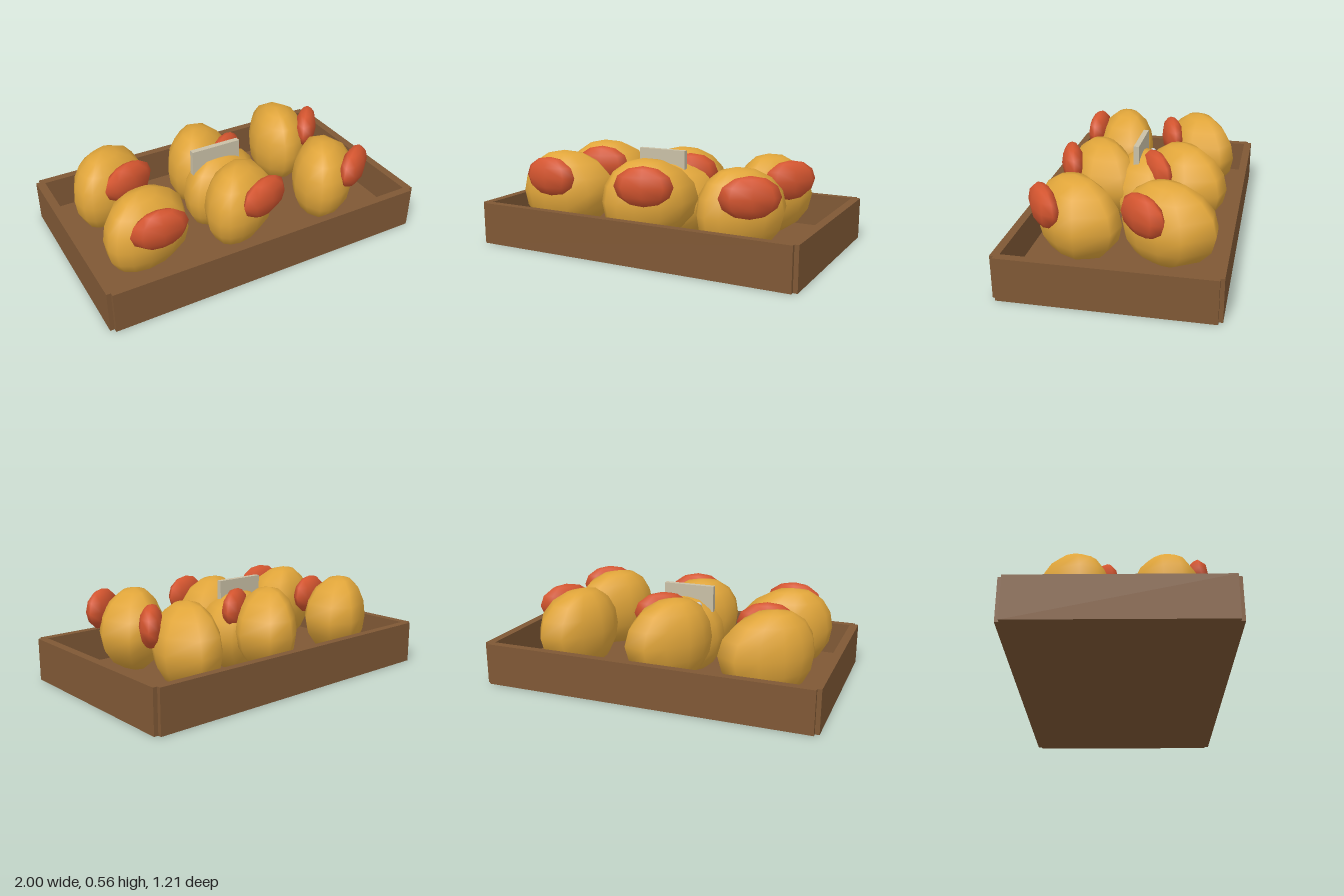
import * as THREE from 'three';

// Plan outline of one fruit (x, z): rounded at one end, angular at the other
const OUTLINE = [
  [-0.26, 0.1], [-0.25, 0], [-0.18, -0.1], [-0.08, -0.16], [0.06, -0.185], [0.19, -0.185],
  [0.28, -0.08], [0.215, 0.11], [0.1, 0.175], [-0.05, 0.205], [-0.16, 0.19], [-0.23, 0.15],
];

// Fruit body: the outline stacked in shrinking rings between two poles
function fruitGeometry(height = 0.245, rings = 8) {
  const n = OUTLINE.length, positions = [], index = [];
  for (let j = 1; j < rings; j++) {
    const a = -Math.PI / 2 + (j / rings) * Math.PI;
    const c = Math.cos(a), s = Math.sin(a);
    for (const [x, z] of OUTLINE) positions.push(x * c - 0.03 * s * s, height * s, z * c);
  }
  const bottom = positions.length / 3, top = bottom + 1;
  positions.push(-0.03, -height, 0, -0.03, height, 0);
  for (let i = 0; i < n; i++) {
    const k = (i + 1) % n, last = (rings - 2) * n;
    for (let j = 0; j < rings - 2; j++) {
      const a = j * n + i, b = j * n + k, c = a + n, d = b + n;
      index.push(a, c, b, b, c, d);
    }
    index.push(bottom, i, k, last + i, top, last + k);
  }
  const g = new THREE.BufferGeometry();
  g.setAttribute('position', new THREE.Float32BufferAttribute(positions, 3));
  g.setIndex(index);
  g.computeVertexNormals();
  return g;
}

export function createModel() {
  const model = new THREE.Group();
  model.name = 'fruitTray';
  const mat = (name, color) => {
    const m = new THREE.MeshStandardMaterial({ color });
    m.name = name;
    return m;
  };
  const wood = mat('brown wood', 0x7f5835);
  const yellow = mat('golden skin', 0xe0a53a);
  const red = mat('red blush', 0xd4552f);
  const card = mat('card beige', 0xc9c0a6);
  const silver = mat('pale silver', 0xc8c8c8);

  const add = (parent, name, geometry, material, x, y, z) => {
    const mesh = new THREE.Mesh(geometry, material);
    mesh.name = name;
    mesh.position.set(x, y, z);
    parent.add(mesh);
    return mesh;
  };

  // Wooden tray
  const tray = new THREE.Group();
  tray.name = 'tray';
  model.add(tray);
  add(tray, 'trayFloor', new THREE.BoxGeometry(1.94, 0.05, 1.16), wood, 0, 0.025, 0);
  for (const s of [-1, 1]) {
    add(tray, s > 0 ? 'frontWall' : 'backWall', new THREE.BoxGeometry(1.95, 0.25, 0.047), wood, 0, 0.125, s * 0.5815);
    add(tray, s > 0 ? 'leftWall' : 'rightWall', new THREE.BoxGeometry(0.05, 0.25, 1.165), wood, s * 0.975, 0.125, 0);
  }

  // Six fruits in two rows, each turned a little more: x, z, yaw
  const body = fruitGeometry();
  const blush = new THREE.SphereGeometry(1, 8, 6);
  blush.scale(0.172, 0.118, 0.068);
  const fruits = [
    [-0.62, 0.22, 0], [-0.035, 0.24, 0.32], [0.55, 0.25, 0.61],
    [-0.64, -0.28, 0.3], [-0.05, -0.26, 0.59], [0.54, -0.26, 0.88],
  ];
  for (const [x, z, yaw] of fruits) {
    const fruit = new THREE.Group();
    fruit.name = 'fruit';
    fruit.position.set(x, 0.3, z);
    fruit.rotation.y = yaw;
    add(fruit, 'fruitBody', body, yellow, 0, 0, 0);
    add(fruit, 'fruitBlush', blush, red, 0.005, 0.115, 0.195);
    model.add(fruit);
  }

  // Middle fruit sitting lower, with a small card and a bead
  add(model, 'middleFruit', body, yellow, -0.01, 0.25, -0.02);
  add(model, 'card', new THREE.BoxGeometry(0.31, 0.155, 0.032), card, -0.065, 0.4875, 0.016);
  add(model, 'bead', new THREE.SphereGeometry(0.02, 10, 8), silver, -0.145, 0.455, -0.042);

  return model;
}
